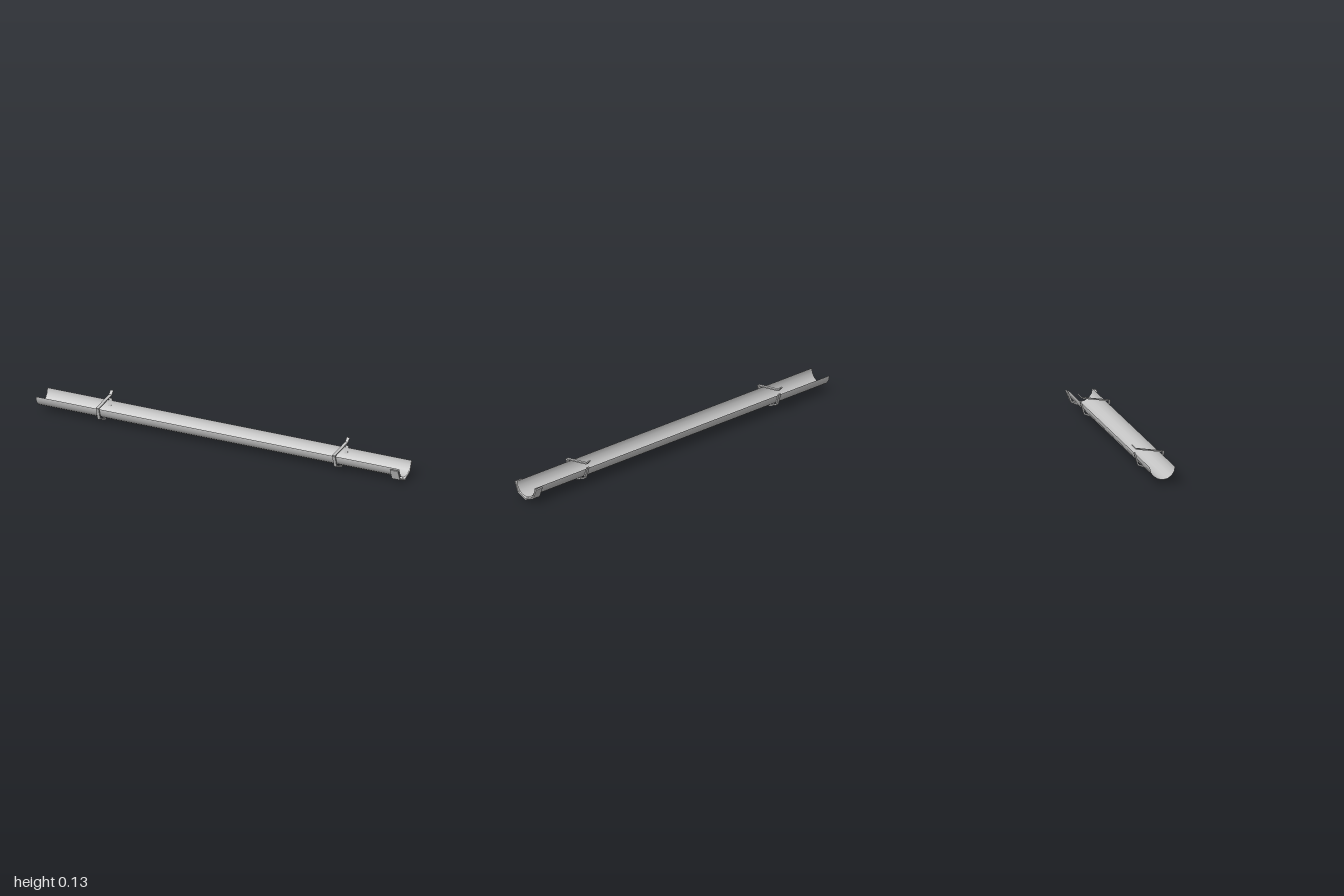
import * as THREE from 'three';

const steel = new THREE.MeshStandardMaterial({ color: 0xc6c6c6, side: THREE.DoubleSide });
steel.name = 'galvanised grey';
const bracketGrey = new THREE.MeshStandardMaterial({ color: 0xc0c0c0 });
bracketGrey.name = 'bracket grey';

// Flat bar of thickness t following a [z, y] path, extruded to a width along x
function strip(name, path, t, width, material) {
  const p = path.map(([z, y]) => new THREE.Vector2(z, y));
  const normal = (a, b) => new THREE.Vector2(a.y - b.y, b.x - a.x).normalize();
  const side = (s) => p.map((q, i) => {
    const n0 = normal(p[Math.max(i - 1, 0)], p[Math.max(i, 1)]);
    const last = p.length - 1;
    const n1 = normal(p[Math.min(i, last - 1)], p[Math.min(i + 1, last)]);
    const m = n0.clone().add(n1).normalize();
    return q.clone().addScaledVector(m, s * t / 2 / m.dot(n0));
  });
  const shape = new THREE.Shape([...side(1), ...side(-1).reverse()]);
  const geo = new THREE.ExtrudeGeometry(shape, { depth: width, bevelEnabled: false });
  geo.translate(0, 0, -width / 2).rotateY(-Math.PI / 2);
  const mesh = new THREE.Mesh(geo, material);
  mesh.name = name;
  return mesh;
}

// Points of a lower half circle as [z, y], from back to front
function halfRing(cz, cy, r, n) {
  return Array.from({ length: n + 1 }, (_, i) => {
    const a = Math.PI + Math.PI * i / n;
    return [cz + r * Math.cos(a), cy + r * Math.sin(a)];
  });
}

export function createModel() {
  const model = new THREE.Group();
  model.name = 'gutter';

  // Thin smooth half-pipe trough running the full length
  const troughGeo = new THREE.CylinderGeometry(0.063, 0.063, 2, 8, 1, true, 0, Math.PI);
  troughGeo.rotateZ(-Math.PI / 2);
  const trough = new THREE.Mesh(troughGeo, steel);
  trough.name = 'trough';
  trough.position.set(0, 0.083, 0.002);
  model.add(trough);

  // Faceted joining collar at the left end
  const collar = strip('collar', halfRing(0.0055, 0.079, 0.0745, 4), 0.007, 0.044, steel);
  collar.position.x = 0.978;
  model.add(collar);

  // Hanging brackets: faceted cradle plus a bar that kicks up at the back
  for (const x of [-0.654, 0.646]) {
    const bracket = new THREE.Group();
    bracket.name = 'bracket';
    bracket.add(strip('cradle',
      [[-0.068, 0.091], [-0.049, 0.03], [0.0055, 0.0085], [0.06, 0.03], [0.079, 0.091]],
      0.007, 0.016, bracketGrey));
    bracket.add(strip('hangerBar',
      [[0.081, 0.091], [-0.061, 0.11], [-0.079, 0.129]],
      0.006, 0.016, bracketGrey));
    bracket.position.x = x;
    model.add(bracket);
  }
  return model;
}
